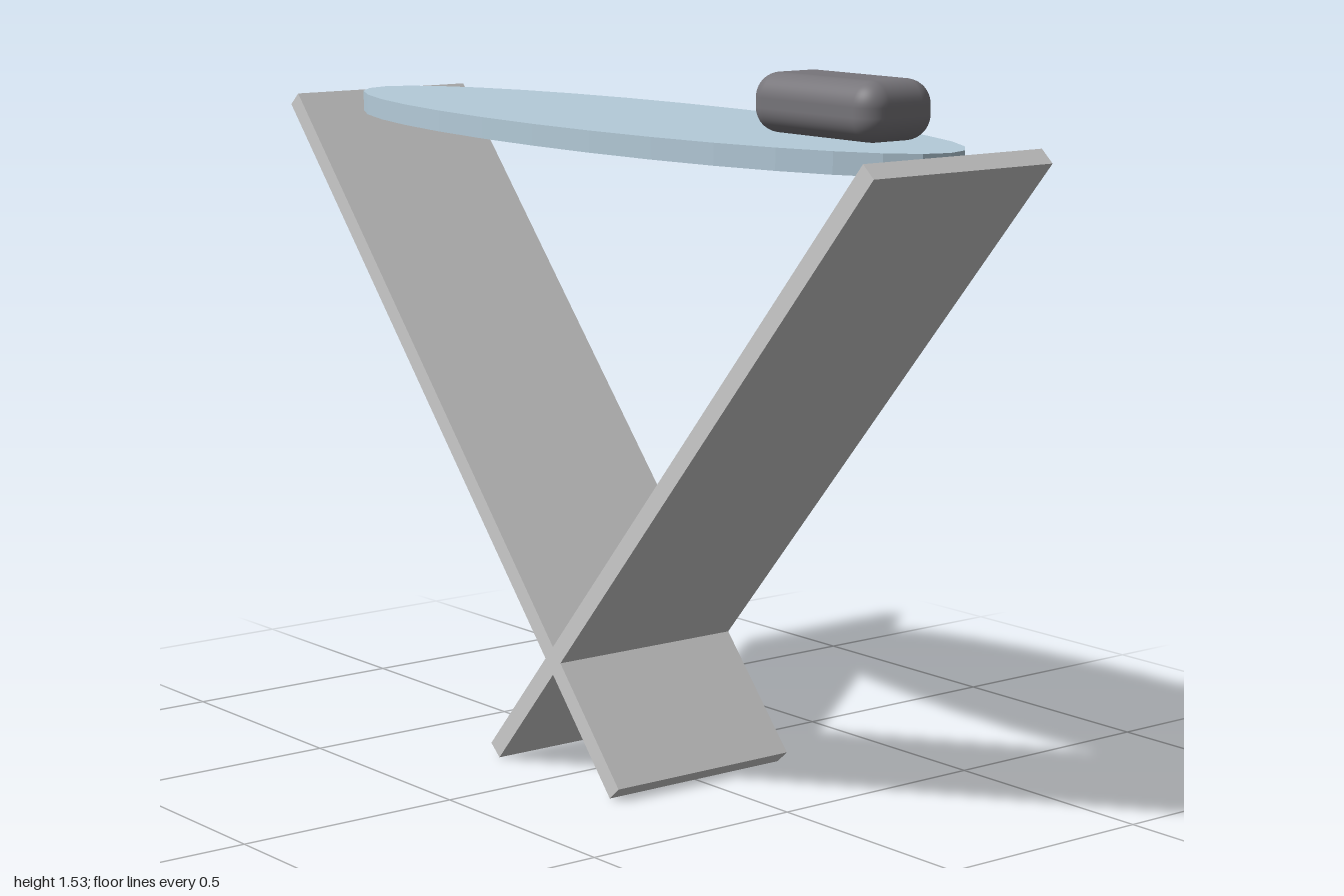
import * as THREE from 'three';
import { RoundedBoxGeometry } from 'three/addons/geometries/RoundedBoxGeometry.js';

export function createModel() {
  const group = new THREE.Group();
  const grey = new THREE.MeshStandardMaterial({ color: 0xcccccc, flatShading: true });
  const blue = new THREE.MeshStandardMaterial({ color: 0xb4cbd9, flatShading: true });
  const dark = new THREE.MeshStandardMaterial({ color: 0x77757a });

  const add = (name, geometry, material, x, y, z = 0) => {
    const mesh = new THREE.Mesh(geometry, material);
    mesh.name = name;
    mesh.position.set(x, y, z);
    group.add(mesh);
    return mesh;
  };

  // Two slanted planks crossing near the ground, mirrored in x
  const foot = new THREE.Vector2(0.213, 0.014);
  const head = new THREE.Vector2(-0.985, 1.384);
  const mid = foot.clone().add(head).multiplyScalar(0.5);
  const length = foot.distanceTo(head);
  const tilt = Math.atan2(foot.x - head.x, head.y - foot.y);
  for (const side of [1, -1]) {
    const plank = add(side > 0 ? 'rightTopPlank' : 'leftTopPlank',
      new THREE.BoxGeometry(0.04, length, 0.46), grey, side * mid.x, mid.y);
    plank.rotation.z = side * tilt;
  }

  // Thin elliptical tabletop
  const top = new THREE.CylinderGeometry(1, 1, 0.045, 32).scale(0.96, 1, 0.277);
  add('tabletop', top, blue, 0, 1.38);

  // Soft rounded block resting above one end
  add('roundedBlock', new RoundedBoxGeometry(0.37, 0.12, 0.184, 6, 0.05), dark, 0.645, 1.47, -0.003);

  return group;
}
